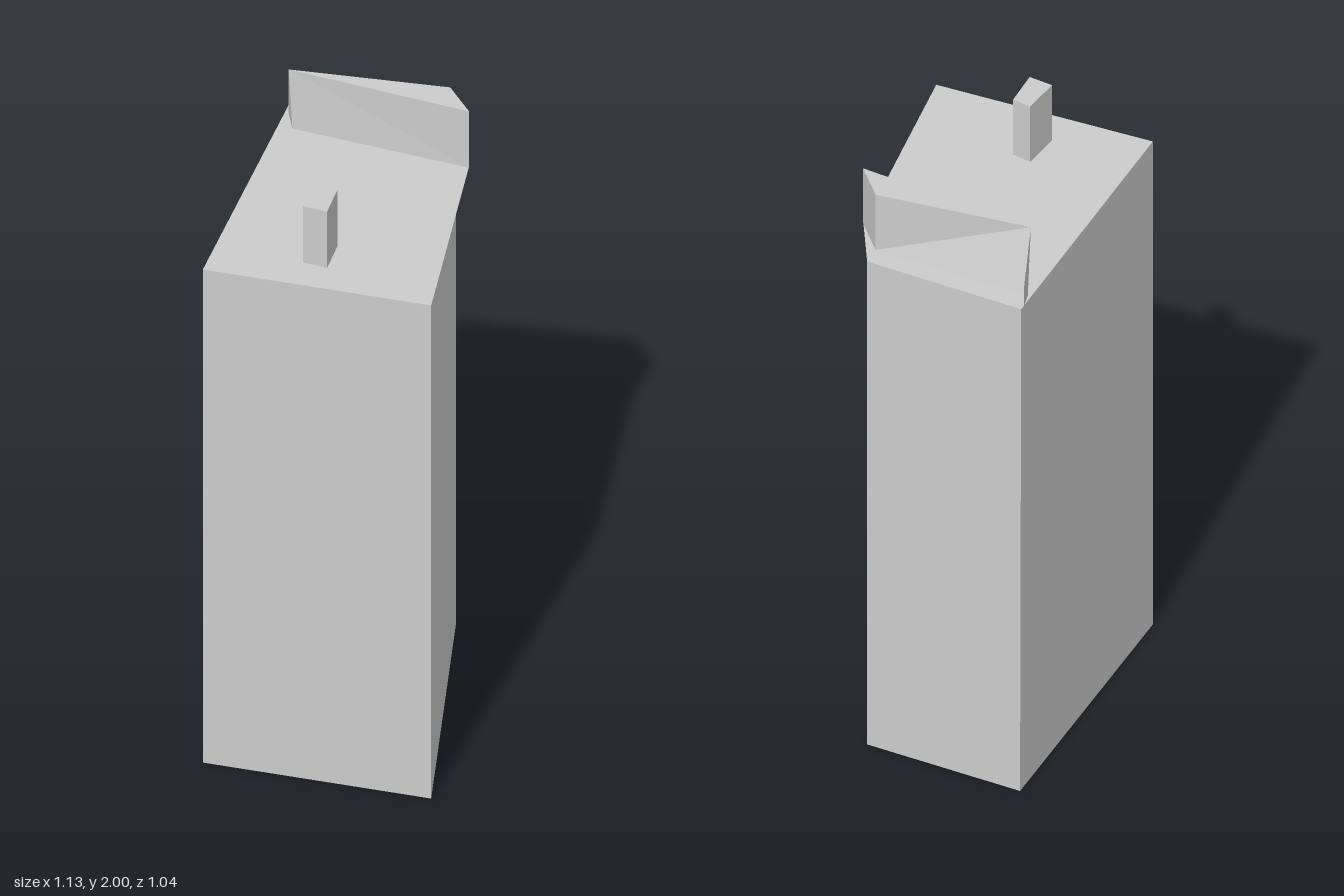
import * as THREE from 'three';

const material = new THREE.MeshStandardMaterial({ color: 0xcccccc, flatShading: true, side: THREE.DoubleSide });

// Flat-sided mesh from convex polygons, each split as a fan
function polyMesh(name, polygons) {
  const points = [];
  for (const p of polygons) {
    for (let i = 1; i < p.length - 1; i++) points.push(...p[0], ...p[i], ...p[i + 1]);
  }
  const geometry = new THREE.BufferGeometry();
  geometry.setAttribute('position', new THREE.Float32BufferAttribute(points, 3));
  geometry.computeVertexNormals();
  const mesh = new THREE.Mesh(geometry, material);
  mesh.name = name;
  return mesh;
}

// Ring of [x, z] points lifted to height y
const ringAt = (ring, y) => ring.map(([x, z]) => [x, y, z]);

// Walls between two rings with the same number of points
function walls(low, high) {
  return low.map((p, i) => {
    const j = (i + 1) % low.length;
    return [p, high[i], high[j], low[j]];
  });
}

export function createModel() {
  const group = new THREE.Group();
  group.name = 'towerBlock';
  const roofY = 1.795, topY = 2;

  // Four-walled tower, slightly wider at its left top corner
  const base = ringAt([[-0.56, -0.23], [-0.135, -0.525], [0.565, 0.08], [0.005, 0.52]], 0);
  const eaves = ringAt([[-0.567, -0.23], [-0.135, -0.525], [0.565, 0.08], [0.005, 0.52]], roofY);
  group.add(polyMesh('towerWalls', [...walls(base, eaves), base]));

  // Flat roof, reaching past the back wall at one corner
  const roof = ringAt([[-0.567, -0.23], [-0.135, -0.525], [0.04, -0.445], [0.565, 0.08], [0.005, 0.52]], roofY);
  group.add(polyMesh('roof', [roof.reverse()]));

  // Wedge-shaped rooftop house with a folded back
  const topLeft = [-0.459, topY, -0.14], topBack = [-0.095, topY, -0.475], topRight = [0.042, topY, -0.445];
  const lowLeft = [-0.515, roofY, -0.18], lowFront = [-0.44, roofY, -0.14];
  const lowBack = [-0.095, roofY, -0.475], lowRight = [0.042, roofY, -0.445];
  group.add(polyMesh('rooftopHouse', [
    [topLeft, topRight, topBack],
    [topLeft, topBack, lowBack],
    [topLeft, lowBack, lowLeft],
    [topLeft, lowLeft, lowFront],
    [topLeft, lowFront, lowRight],
    [topLeft, lowRight, topRight],
    [topBack, topRight, lowRight, lowBack],
  ]));

  // Thin stepped upstand beside the house
  group.add(polyMesh('upstand', [[
    [-0.459, topY, -0.14], [-0.528, 1.865, -0.19], [-0.557, 1.865, -0.215],
    [-0.557, roofY, -0.215], [-0.515, roofY, -0.18],
  ]]));

  // Small chimney near the front
  const chimney = [[0.085, 0.145], [0.142, 0.118], [0.22, 0.215], [0.152, 0.255]];
  const low = ringAt(chimney, roofY), high = ringAt(chimney, topY);
  group.add(polyMesh('chimney', [...walls(low, high), [...high].reverse()]));

  return group;
}
